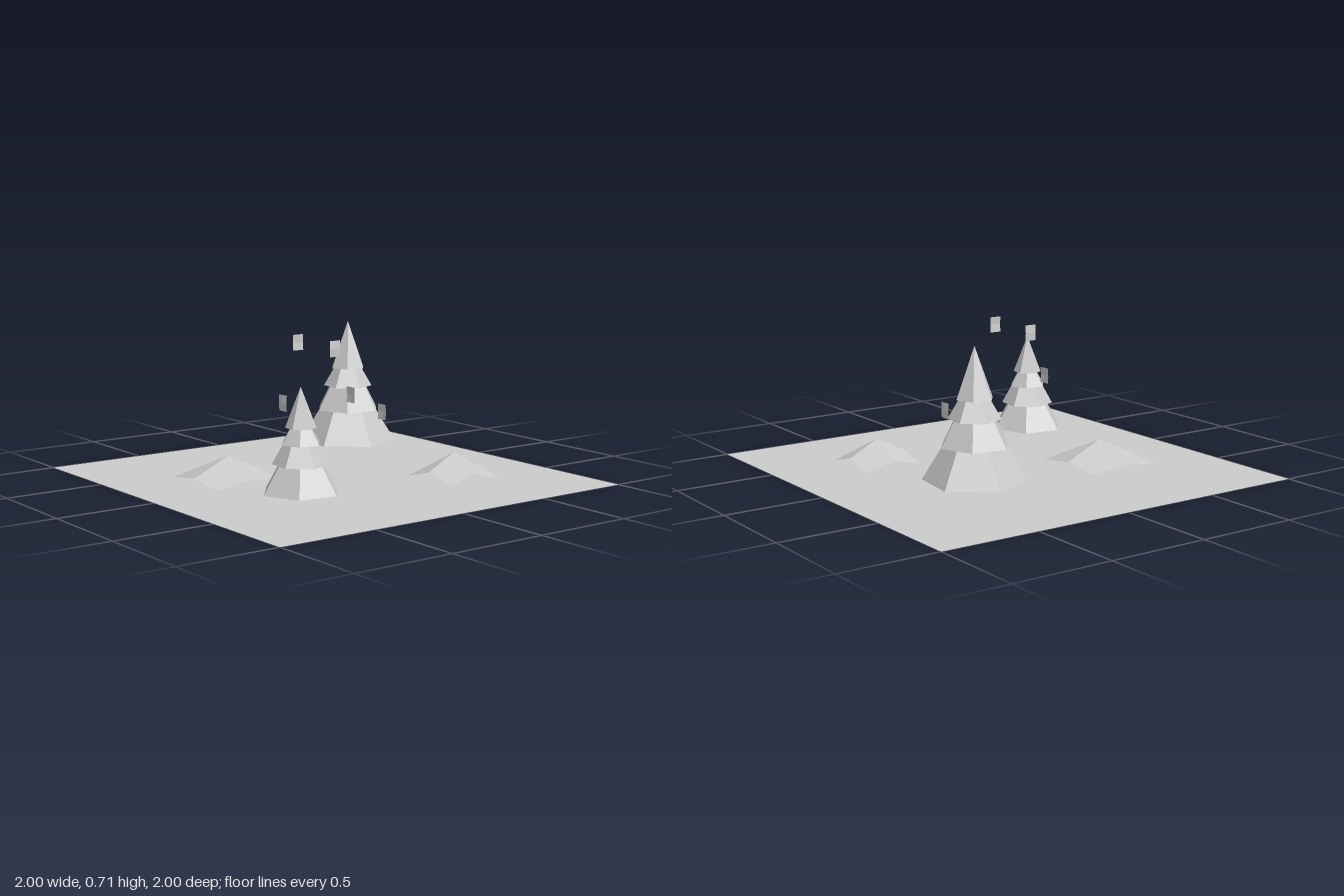
import * as THREE from 'three';

const RAD = Math.PI / 180;
const flat = new THREE.MeshStandardMaterial({ color: 0xcccccc, flatShading: true });
const thin = new THREE.MeshStandardMaterial({ color: 0xcccccc, side: THREE.DoubleSide });

// Square 2 x 2 patch bulging along +y: centre, edge middle and corner heights
function bulgedPatch(w, d, centre, mid, corner) {
  const pos = [], nor = [], idx = [];
  for (const [sx, sz] of [[1, 1], [1, -1], [-1, -1], [-1, 1]]) {
    const x = sx * w / 2, z = sz * d / 2;
    const q = [[0, centre, 0], [0, mid, z], [x, corner, z], [x, mid, 0]].map(p => new THREE.Vector3(...p));
    if (sx * sz < 0) q.reverse();
    // One shared normal per quad keeps each quarter evenly shaded
    const n = q[2].clone().sub(q[0]).cross(q[3].clone().sub(q[1])).normalize();
    const b = pos.length / 3;
    for (const p of q) {
      pos.push(p.x, p.y, p.z);
      nor.push(n.x, n.y, n.z);
    }
    // Split along the diagonal from centre to corner
    if (sx * sz > 0) idx.push(b, b + 1, b + 2, b, b + 2, b + 3);
    else idx.push(b, b + 1, b + 3, b + 1, b + 2, b + 3);
  }
  const g = new THREE.BufferGeometry();
  g.setAttribute('position', new THREE.Float32BufferAttribute(pos, 3));
  g.setAttribute('normal', new THREE.Float32BufferAttribute(nor, 3));
  g.setIndex(idx);
  return g;
}

// Tree of four stacked six-sided skirts, each turned half a side from the last
function tree(name, x, z, scale, turn) {
  const tiers = [ // bottom y, top y, bottom radius, top radius
    [0.08, 0.246, 0.246, 0.146],
    [0.246, 0.369, 0.172, 0.105],
    [0.369, 0.465, 0.125, 0.07],
    [0.465, 0.71, 0.093, 0],
  ];
  const group = new THREE.Group();
  group.name = name;
  tiers.forEach(([y0, y1, r0, r1], i) => {
    const tier = new THREE.Mesh(new THREE.CylinderGeometry(r1, r0, y1 - y0, 6), flat);
    tier.name = 'foliageTier' + (i + 1);
    tier.position.y = (y0 + y1) / 2;
    tier.rotation.y = i * 30 * RAD;
    group.add(tier);
  });
  group.position.set(x, 0, z);
  group.scale.setScalar(scale);
  group.rotation.y = turn * RAD;
  return group;
}

export function createModel() {
  const model = new THREE.Group();
  const add = (name, geometry, x, y, z) => {
    const mesh = new THREE.Mesh(geometry, thin);
    mesh.name = name;
    mesh.position.set(x, y, z);
    model.add(mesh);
    return mesh;
  };

  // Ground
  add('ground', new THREE.PlaneGeometry(2, 2).rotateX(-90 * RAD), 0, 0, 0);

  // Trees
  model.add(tree('largeTree', -0.388, -0.414, 1, 22.3));
  model.add(tree('smallTree', 0.428, 0.48, 0.77, -7.7));

  // Low mounds
  add('largeMound', bulgedPatch(0.395, 0.385, 0.12, 0.03, 0.005), -0.225, 0, 0.45);
  add('smallMound', bulgedPatch(0.31, 0.315, 0.128, 0.046, 0.005), 0.403, 0, -0.464);

  // Floating flakes facing front and back
  for (const [y, z, s] of [[0.41, 0.331, 1], [0.41, -0.073, -1], [0.305, -0.27, -1]]) {
    add('flake', bulgedPatch(0.062, 0.078, 0.006, 0.003, 0), 0.078, y, z).rotation.x = s * 90 * RAD;
  }
  // Floating flakes facing the sides
  for (const [x, s] of [[-0.072, -1], [0.225, 1]]) {
    add('sideFlake', bulgedPatch(0.078, 0.06, 0.006, 0.003, 0), x, 0.67, 0.133).rotation.z = -s * 90 * RAD;
  }
  return model;
}
